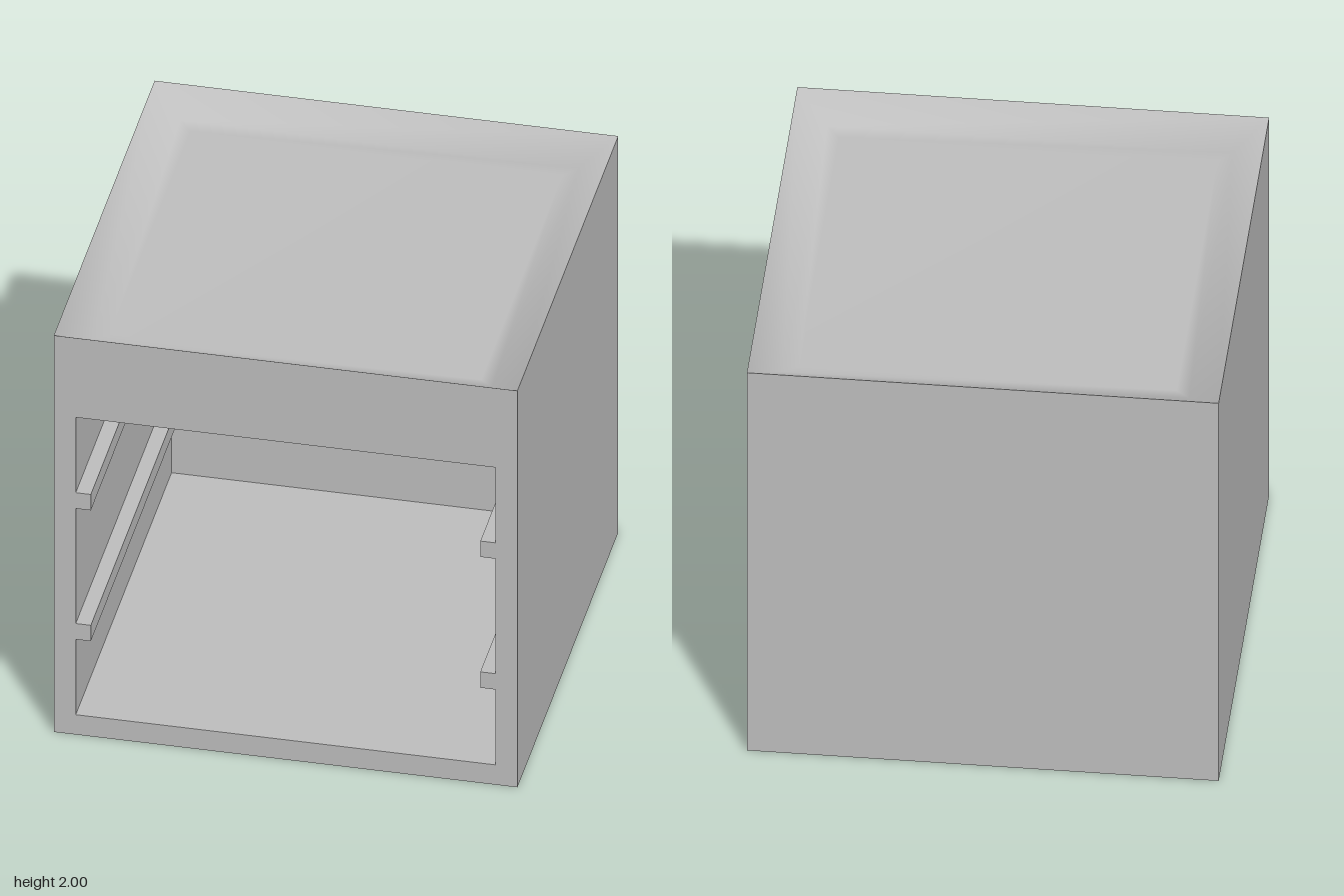
import * as THREE from 'three';

// Cavity outline with two rail notches on each side
function cavityPoints() {
  const w = 0.905, rail = 0.84;
  const right = [[w, 0.1], [w, 0.48], [rail, 0.48], [rail, 0.56], [w, 0.56],
    [w, 1.14], [rail, 1.14], [rail, 1.22], [w, 1.22], [w, 1.6]];
  const left = right.map(([x, y]) => [-x, y]).reverse();
  return [...right, ...left].map(([x, y]) => new THREE.Vector2(x, y));
}

// Drop every triangle whose three corners pass the test
function removeFaces(geometry, test) {
  const p = geometry.attributes.position;
  const kept = [];
  for (let i = 0; i < p.count; i += 3) {
    if (![i, i + 1, i + 2].every((k) => test(p.getX(k), p.getY(k), p.getZ(k)))) {
      for (let k = i; k < i + 3; k++) kept.push(p.getX(k), p.getY(k), p.getZ(k));
    }
  }
  const result = new THREE.BufferGeometry();
  result.setAttribute('position', new THREE.Float32BufferAttribute(kept, 3));
  result.computeVertexNormals();
  return result;
}

// Shallow square dish: rings of four corners, joined with smooth normals
function dishGeometry() {
  const rings = [[1, 2], [0.86, 1.91], [0.8, 1.9]]; // half width, height
  const corners = [[-1, -1], [-1, 1], [1, 1], [1, -1]];
  const positions = [], index = [];
  for (const [r, y] of rings) {
    for (const [cx, cz] of corners) positions.push(cx * r, y, cz * r);
  }
  for (let ring = 0; ring < rings.length - 1; ring++) {
    for (let c = 0; c < 4; c++) {
      const a = ring * 4 + c, b = ring * 4 + (c + 1) % 4;
      index.push(a, b, b + 4, a, b + 4, a + 4);
    }
  }
  const f = (rings.length - 1) * 4;
  index.push(f, f + 1, f + 2, f, f + 2, f + 3);
  const geometry = new THREE.BufferGeometry();
  geometry.setAttribute('position', new THREE.Float32BufferAttribute(positions, 3));
  geometry.setIndex(index);
  geometry.computeVertexNormals();
  return geometry;
}

export function createModel() {
  const model = new THREE.Group();
  model.name = 'openCabinet';
  const grey = new THREE.MeshStandardMaterial({ color: 0xc0c0c0 });
  grey.name = 'plain grey';

  const add = (name, geometry) => {
    const mesh = new THREE.Mesh(geometry, grey);
    mesh.name = name;
    model.add(mesh);
    return mesh;
  };

  // Shell with front face, outer sides, cavity walls and rails
  const front = new THREE.Shape([[-1, 0], [1, 0], [1, 2], [-1, 2]]
    .map(([x, y]) => new THREE.Vector2(x, y)));
  front.holes.push(new THREE.Path(cavityPoints()));
  const shell = new THREE.ExtrudeGeometry(front, { depth: 2, bevelEnabled: false });
  shell.translate(0, 0, -1);
  const isTop = (x, y) => y > 1.999;
  const isBack = (x, y, z) => z < -0.999;
  add('shellWithRails', removeFaces(removeFaces(shell, isTop), isBack));

  // Outer back and the wall at the end of the cavity
  const back = add('outerBack', new THREE.PlaneGeometry(2, 2));
  back.rotation.y = Math.PI;
  back.position.set(0, 1, -1);
  const inner = add('cavityBack', new THREE.ShapeGeometry(new THREE.Shape(cavityPoints())));
  inner.position.z = -0.9;

  // Sunken top
  add('dishedTop', dishGeometry());

  return model;
}
